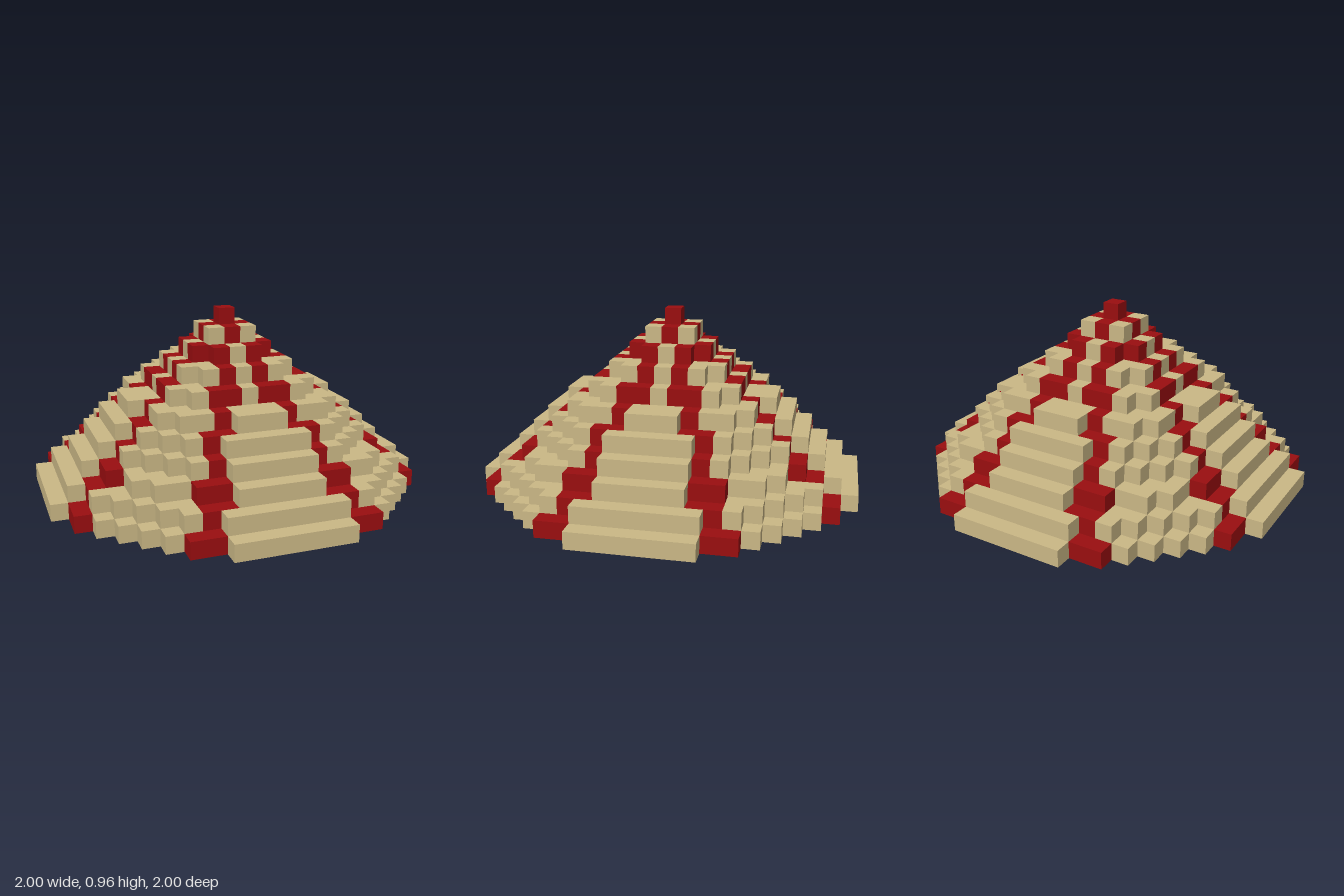
import * as THREE from 'three';
import { mergeGeometries } from 'three/addons/utils/BufferGeometryUtils.js';

const U = 2 / 23; // block size

// Each tier: half-width in blocks of every row outward from the centre,
// and the red blocks [x, z] of one octant.
const TIERS = [
  { rows: [11, 11, 11, 11, 10, 10, 9, 8, 7, 6, 5, 3], red: [[4, 10], [5, 10]] },
  { rows: [10, 10, 10, 10, 9, 9, 8, 7, 6, 5, 3], red: [[3, 9], [4, 9]] },
  { rows: [9, 9, 9, 8, 8, 7, 7, 6, 4, 2], red: [[3, 8], [4, 8]] },
  { rows: [8, 8, 8, 7, 7, 6, 5, 4, 2], red: [[3, 7]] },
  { rows: [7, 7, 7, 6, 6, 5, 4, 2], red: [[2, 6], [3, 6]] },
  { rows: [6, 6, 5, 5, 5, 4, 1], red: [[2, 5]] },
  { rows: [4, 4, 4, 4, 3], red: [[1, 4], [2, 4]] },
  { rows: [3, 3, 3, 2], red: [[1, 3]] },
  { rows: [2, 2, 1], red: [[1, 2]] },
  { rows: [1, 1], red: [[0, 1]] },
  { rows: [0], red: [[0, 0]] },
];

// A bar of blocks from column x0 to x1 in row z of a tier
function bar(x0, x1, z, tier) {
  const g = new THREE.BoxGeometry((x1 - x0 + 1) * U, U, U);
  g.translate(((x0 + x1) / 2) * U, (tier + 0.5) * U, z * U);
  return g;
}

export function createModel() {
  const model = new THREE.Group();
  model.name = 'steppedConeRoof';
  const straw = new THREE.MeshStandardMaterial({ color: 0xcbb886 });
  straw.name = 'straw';
  const red = new THREE.MeshStandardMaterial({ color: 0x9a0e10 });
  red.name = 'darkRed';

  TIERS.forEach(({ rows, red: marks }, tier) => {
    const group = new THREE.Group();
    group.name = `tier${tier + 1}`;
    // Mirror the red blocks across both axes and the diagonals
    const isRed = (x, z) => marks.some(([a, b]) =>
      (Math.abs(x) === a && Math.abs(z) === b) || (Math.abs(x) === b && Math.abs(z) === a));
    const parts = { straw: [], red: [] };
    const reach = rows.length - 1;
    for (let z = -reach; z <= reach; z++) {
      const half = rows[Math.abs(z)];
      // Join neighbouring blocks of one colour into bars
      let start = -half;
      for (let x = -half; x <= half; x++) {
        const colour = isRed(x, z);
        if (x === half || isRed(x + 1, z) !== colour) {
          parts[colour ? 'red' : 'straw'].push(bar(start, x, z, tier));
          start = x + 1;
        }
      }
    }
    const add = (list, material, name) => {
      if (!list.length) return;
      const mesh = new THREE.Mesh(mergeGeometries(list), material);
      mesh.name = name;
      group.add(mesh);
    };
    add(parts.straw, straw, 'strawBlocks');
    add(parts.red, red, 'redRibBlocks');
    model.add(group);
  });
  return model;
}
